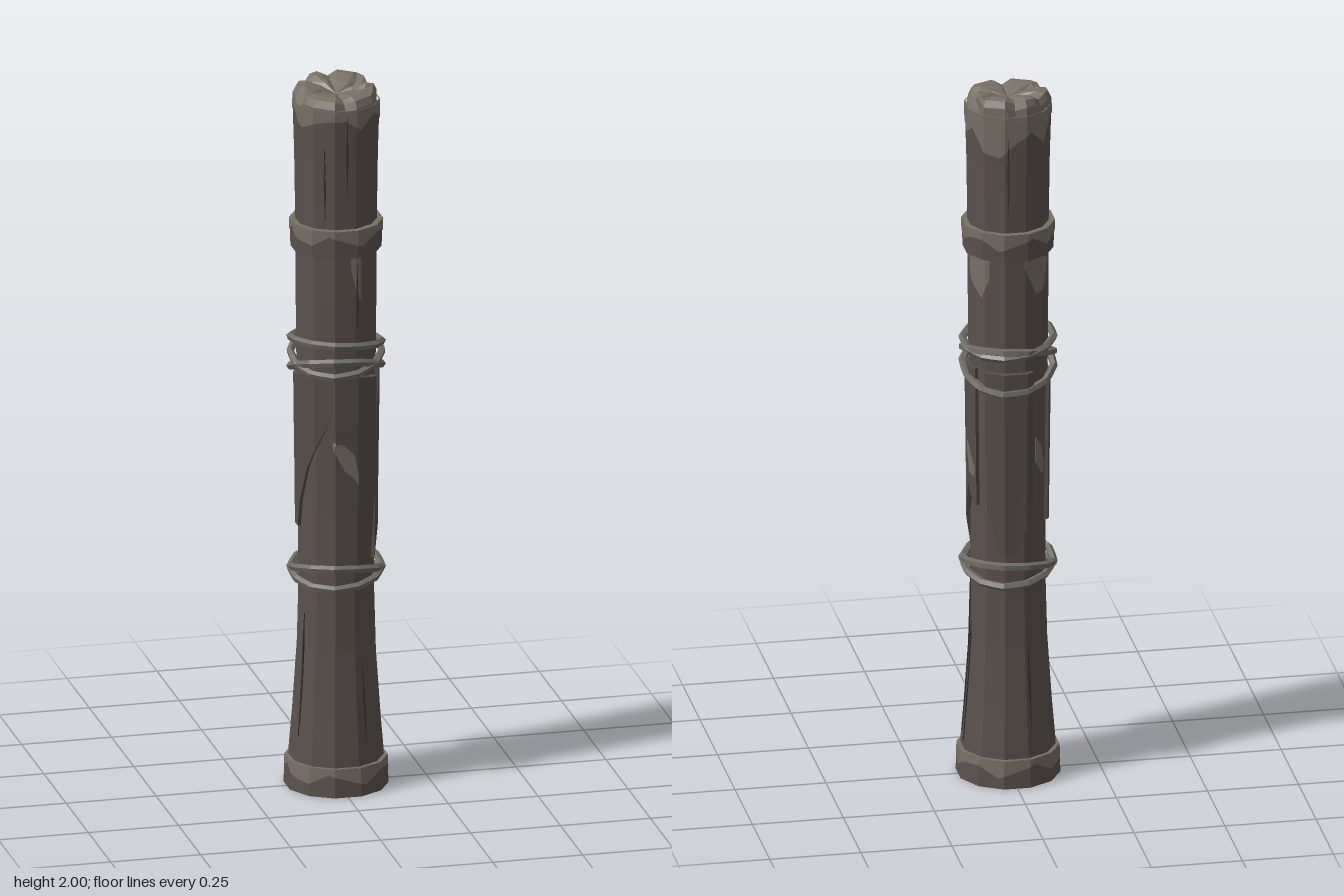
import * as THREE from 'three';

const mat = (name, color) => {
  const m = new THREE.MeshStandardMaterial({ color, flatShading: true });
  m.name = name;
  return m;
};
const D = Math.PI / 180;

// trunk profile: [height, corner radius]
const PROFILE = [[0.02, 0.132], [0.1, 0.128], [0.22, 0.118], [0.4, 0.106], [0.55, 0.102], [0.8, 0.102],
  [1.1, 0.106], [1.4, 0.109], [1.6, 0.11], [1.8, 0.113], [1.93, 0.117]];

function trunkRadius(y) {
  for (let i = 1; i < PROFILE.length; i++) {
    const [y0, r0] = PROFILE[i - 1], [y1, r1] = PROFILE[i];
    if (y <= y1) return r0 + (r1 - r0) * Math.max(0, (y - y0) / (y1 - y0));
  }
  return 0.117;
}

// point on a twelve-sided shaft, angle in degrees from the front towards +x
function onShaft(deg, y, offset, radius = trunkRadius) {
  const d = deg - Math.round(deg / 30) * 30;
  const r = (radius(y) + offset) * Math.cos(15 * D) / Math.cos(d * D);
  return [r * Math.sin(deg * D), y, r * Math.cos(deg * D)];
}

// closed shell hugging the shaft; columns are [degrees, low y, high y]
function shell(columns, thick, radius) {
  const cols = [columns[0]];
  for (let i = 1; i < columns.length; i++) {
    const a = columns[i - 1], b = columns[i];
    for (let e = Math.floor((a[0] - 15) / 30) * 30 + 45; e < b[0]; e += 30) {
      const t = (e - a[0]) / (b[0] - a[0]);
      if (t > 0) cols.push([e, a[1] + (b[1] - a[1]) * t, a[2] + (b[2] - a[2]) * t]);
    }
    cols.push(b);
  }
  const pos = [];
  const quad = (a, b, c, d) => pos.push(...a, ...b, ...c, ...a, ...c, ...d);
  const at = (c, t, out) => onShaft(c[0], c[1] + (c[2] - c[1]) * t, out ? thick : -0.002, radius);
  const rows = 4;
  for (let i = 1; i < cols.length; i++) {
    const a = cols[i - 1], b = cols[i];
    for (let k = 0; k < rows; k++) {
      const s = k / rows, t = (k + 1) / rows;
      quad(at(a, s, 1), at(b, s, 1), at(b, t, 1), at(a, t, 1));
    }
    quad(at(a, 1, 1), at(b, 1, 1), at(b, 1, 0), at(a, 1, 0));
    quad(at(a, 0, 0), at(b, 0, 0), at(b, 0, 1), at(a, 0, 1));
  }
  const f = cols[0], l = cols[cols.length - 1];
  quad(at(f, 0, 0), at(f, 0, 1), at(f, 1, 1), at(f, 1, 0));
  quad(at(l, 0, 1), at(l, 0, 0), at(l, 1, 0), at(l, 1, 1));
  const g = new THREE.BufferGeometry();
  g.setAttribute('position', new THREE.Float32BufferAttribute(pos, 3));
  g.computeVertexNormals();
  return g;
}

const lathe = (pts, sides = 12) =>
  new THREE.LatheGeometry(pts.map(([r, y]) => new THREE.Vector2(r, y)), sides, Math.PI / 12);

export function createModel() {
  const root = new THREE.Group();
  root.name = 'woodenPost';
  const wood = mat('dark wood', 0x5b514d);
  const plankWood = mat('plank wood', 0x564e4a);
  const worn = mat('worn wood', 0x777065);
  const rope = mat('rope', 0x6f6c66);
  const crack = mat('crack', 0x3b3533);
  const add = (name, geo, m) => {
    const mesh = new THREE.Mesh(geo, m);
    mesh.name = name;
    root.add(mesh);
    return mesh;
  };

  // tapering trunk
  add('trunk', lathe(PROFILE.map(([y, r]) => [r, y])), wood);

  // broken top, raised at the back and notched where the wood has split
  const top = lathe([[0.117, 1.925], [0.117, 1.965], [0.108, 1.984], [0.085, 1.988], [0.045, 1.98], [0, 1.975]], 24);
  const p = top.attributes.position;
  const notches = [0, 75, 112, 178, 230, 285];
  for (let i = 0; i < p.count; i++) {
    const x = p.getX(i), y = p.getY(i), z = p.getZ(i);
    const deg = (Math.atan2(x, z) / D + 360) % 360;
    const near = notches.some(n => Math.abs((deg - n + 540) % 360 - 180) < 8);
    const flat = Math.cos(15 * D) / Math.cos((deg - Math.round(deg / 30) * 30) * D);
    const pull = (near && y > 1.95 && Math.hypot(x, z) > 0.07 ? 0.91 : 1) * flat;
    const lift = y > 1.95 ? -z * 0.1 - (near ? 0.012 : 0) : 0;
    p.setXYZ(i, x * pull, Math.min(2, y + lift), z * pull);
  }
  top.computeVertexNormals();
  add('brokenTop', top, worn);

  // ragged worn edge below the break
  const rim = [1.92, 1.89, 1.93, 1.91, 1.87, 1.9, 1.84, 1.83, 1.87, 1.9, 1.86, 1.92, 1.93, 1.89, 1.91, 1.92];
  add('wornRim', shell([...rim, rim[0]].map((lo, i) => [i * 22.5, lo, 1.95]), 0.002), worn);

  // iron-like wooden bands with worn upper edges
  const bands = [['baseBand', 0, 0.08, 0.142, 0.138], ['upperBand', 1.53, 1.61, 0.123, 0.126]];
  for (const [name, y0, y1, r0, r1] of bands) {
    add(name, lathe([[0, y0], [r0, y0], [r1, y1], [r1 - 0.012, y1], [0.09, y1 - 0.004]]), wood);
    const radius = y => r0 + (r1 - r0) * (y - y0) / (y1 - y0);
    const wave = [];
    for (let i = 0; i <= 16; i++) wave.push([i * 22.5, y1 - 0.033 - 0.018 * Math.sin(i * Math.PI * 5 / 8), y1]);
    add(name + 'WornEdge', shell(wave, 0.0015, radius), worn);
    const lip = new THREE.RingGeometry(r1 - 0.014, r1, 12, 1, Math.PI / 12);
    lip.rotateX(-Math.PI / 2).translate(0, y1 + 0.001, 0);
    add(name + 'Lip', lip, worn);
  }

  // splintered planks bound to the shaft
  const planks = [
    ['frontPlank', [[-14, 0.65, 1.19], [15, 0.65, 1.19], [38, 0.66, 1.18], [48, 0.9, 1.18]], 0.019],
    ['rightPlank', [[-112, 0.74, 1.17], [-88, 0.74, 1.17], [-60, 0.92, 1.19], [-18, 1.08, 1.19]], 0.009],
    ['leftPlank', [[58, 0.65, 0.98], [72, 0.72, 1.2], [92, 0.85, 1.2], [118, 0.8, 1.2]], 0.011],
    ['backPlank', [[138, 0.84, 1.2], [155, 0.67, 1.2], [180, 0.67, 1.2], [205, 0.8, 1.2]], 0.016],
  ];
  for (const [name, cols, thick] of planks) add(name, shell(cols, thick), plankWood);

  // ropes, each a tilted loop: [height, front-back tilt, side tilt]
  const ropes = [[1.265, 0.015, -0.01], [1.23, -0.035, 0.012], [1.19, 0.045, -0.008],
    [0.615, 0.03, -0.008], [0.615, -0.025, 0.01]];
  for (const [y, tiltZ, tiltX] of ropes) {
    const pts = [];
    for (let i = 0; i < 12; i++) {
      const a = (i * 30 + 15) * D, r = 0.12 + (i % 3) * 0.002;
      pts.push(new THREE.Vector3(Math.sin(a) * r, y + tiltZ * Math.cos(a) + tiltX * Math.sin(a), Math.cos(a) * r));
    }
    const curve = new THREE.CatmullRomCurve3(pts, true, 'catmullrom', 0.1);
    add('rope', new THREE.TubeGeometry(curve, 24, 0.011, 5, true), rope);
  }

  // worn patches: [columns, offset above the trunk]
  const patches = [
    [[[-18, 0.99, 1.0], [-4, 0.93, 1.0], [10, 0.9, 0.97], [16, 0.88, 0.91]], 0.021],
    [[[8, 1.5, 1.53], [18, 1.42, 1.53], [26, 1.4, 1.53]], 0.002],
    [[[95, 1.48, 1.53], [110, 1.44, 1.53], [128, 1.41, 1.53], [142, 1.47, 1.53]], 0.002],
    [[[92, 0.94, 0.97], [105, 0.89, 0.96], [116, 0.88, 0.91]], 0.013],
    [[[195, 1.5, 1.53], [215, 1.42, 1.53], [235, 1.43, 1.53], [245, 1.5, 1.53]], 0.002],
    [[[215, 0.93, 1.0], [228, 0.89, 0.97], [240, 0.88, 0.91]], 0.002],
  ];
  for (const [cols, off] of patches) add('wornPatch', shell(cols, off), worn);

  // long splits in the wood: [degrees, low y, high y]
  const splits = [[18, 1.3, 1.52], [2, 1.7, 1.94], [28, 0.12, 0.4], [82, 0.12, 0.6], [95, 0.1, 0.45],
    [-30, 1.62, 1.85], [170, 1.65, 1.9], [230, 1.25, 1.5], [290, 0.15, 0.5], [200, 0.12, 0.5]];
  for (const [deg, lo, hi] of splits) {
    const mid = (lo + hi) / 2;
    add('split', shell([[deg - 1.5, mid, mid + 0.02], [deg, lo, hi], [deg + 1.5, mid - 0.03, mid]], 0.0025), crack);
  }
  return root;
}
